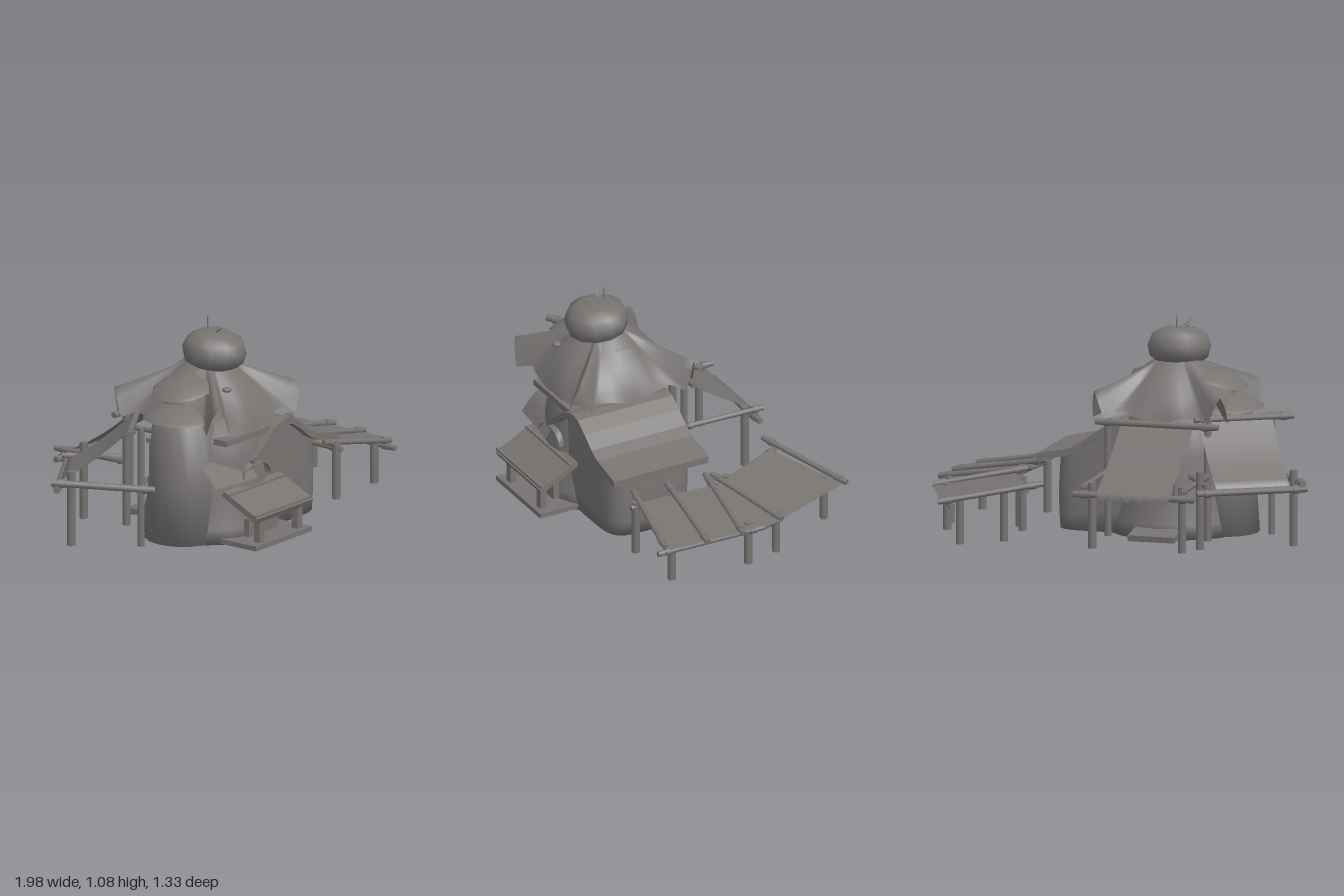
import * as THREE from 'three';

const V = (p) => new THREE.Vector3(...p);

export function createModel() {
  const model = new THREE.Group();
  const stone = new THREE.MeshStandardMaterial({ color: 0x767371, side: THREE.DoubleSide });
  stone.name = 'warm grey';

  const add = (name, geo, pos = [0, 0, 0], rot = [0, 0, 0], scale = [1, 1, 1]) => {
    const m = new THREE.Mesh(geo, stone);
    m.name = name;
    m.position.set(...pos);
    m.rotation.set(...rot);
    m.scale.set(...scale);
    model.add(m);
    return m;
  };
  const box = (name, x0, x1, y0, y1, z0, z1) => add(name,
    new THREE.BoxGeometry(x1 - x0, y1 - y0, z1 - z0), [(x0 + x1) / 2, (y0 + y1) / 2, (z0 + z1) / 2]);
  // round pole between two points
  const pole = (name, a, b, r = 0.014) => {
    const d = V(b).sub(V(a));
    const m = add(name, new THREE.CylinderGeometry(r, r, d.length(), 8), V(a).add(V(b)).multiplyScalar(0.5).toArray());
    m.quaternion.setFromUnitVectors(new THREE.Vector3(0, 1, 0), d.normalize());
  };
  // rail with thicker lashings near both ends
  const rail = (name, a, b, r = 0.014) => {
    pole(name, a, b, r);
    for (const t of [0.07, 0.87]) {
      pole(name + 'Lashing', V(a).lerp(V(b), t).toArray(), V(a).lerp(V(b), t + 0.06).toArray(), r * 1.3);
    }
  };
  const post = (name, x, z, top, r = 0.021) => pole(name, [x, 0.01, z], [x, top, z], r);
  // surface from a rule f(u, v) -> [x, y, z]
  const surface = (nu, nv, f, closed = false) => {
    const pos = [], idx = [], cols = closed ? nu : nu + 1;
    for (let j = 0; j <= nv; j++) for (let i = 0; i < cols; i++) pos.push(...f(i / nu, j / nv));
    for (let j = 0; j < nv; j++) for (let i = 0; i < nu; i++) {
      const a = j * cols + i, b = j * cols + (i + 1) % cols;
      idx.push(a, b, a + cols, b, b + cols, a + cols);
    }
    const g = new THREE.BufferGeometry();
    g.setAttribute('position', new THREE.Float32BufferAttribute(pos, 3));
    g.setIndex(idx);
    g.computeVertexNormals();
    return g;
  };
  const lathe = (pts, n) => new THREE.LatheGeometry(pts.map((p) => new THREE.Vector2(...p)), n);

  // round tower and the bay on its side
  const CX = -0.2, CZ = 0.19;
  add('towerWall', lathe([[0, 0], [0.345, 0], [0.325, 0.07], [0.3, 0.2], [0.28, 0.4], [0.26, 0.52], [0.2, 0.64], [0, 0.64]], 20), [CX, 0.005, CZ]);
  add('bayWall', lathe([[0, 0], [0.195, 0], [0.175, 0.3], [0.155, 0.63], [0, 0.63]], 16), [-0.42, 0.005, 0.2]);
  add('bayLowerRoof', lathe([[0.205, 0], [0.19, 0.015], [0.1, 0.065], [0, 0.09]], 11), [-0.435, 0.625, 0.21]);
  add('bayUpperRoof', lathe([[0.16, 0], [0.14, 0.015], [0.08, 0.04], [0, 0.05]], 11), [-0.41, 0.765, 0.19], [0, 0, 0.25]);
  add('bayRoofNeck', new THREE.CylinderGeometry(0.09, 0.12, 0.1, 11), [-0.39, 0.72, 0.19]);

  // main roof: octagonal skirt with four narrow upturned corner horns
  // rows: degrees from the corner, mid radius, mid height, rim radius, rim height
  const rows = [[0, 0.27, 0.79, 0.46, 0.735], [4, 0.265, 0.775, 0.455, 0.68], [7.5, 0.25, 0.745, 0.44, 0.595],
    [11, 0.25, 0.74, 0.36, 0.62], [22.5, 0.27, 0.745, 0.34, 0.615], [45, 0.28, 0.745, 0.315, 0.585]];
  const roofAngles = [0, 11, 22.5, 34, 37.5, 41, 45, 49, 52.5, 56, 67.5, 79];
  const roofPoint = (u, v) => {
    const i = Math.round(u * 48), deg = Math.floor(i / 12) * 90 + roofAngles[i % 12];
    const d = Math.abs((deg % 90) - 45);
    let k = 0;
    while (k < rows.length - 2 && d > rows[k + 1][0]) k++;
    const A = rows[k], B = rows[k + 1], t = (d - A[0]) / (B[0] - A[0]);
    const [mr, my, rr, ry] = [1, 2, 3, 4].map((n) => A[n] + (B[n] - A[n]) * t);
    const q = (a, b, c) => (1 - v) * (1 - v) * a + 2 * v * (1 - v) * b + v * v * c;
    const r = q(0.11, mr, rr), a = deg * Math.PI / 180;
    return [CX + Math.cos(a) * r, q(0.86, my, ry), CZ - 0.015 + Math.sin(a) * r];
  };
  add('mainRoof', surface(48, 8, roofPoint, true));
  add('sideDormer', new THREE.SphereGeometry(0.105, 9, 8), [-0.015, 0.755, 0.17], [0, 0, 0.55], [0.28, 0.75, 1]);
  add('roofKnot', new THREE.SphereGeometry(0.025, 8, 6), [-0.31, 0.765, 0.385], [0, 0, 0], [1, 0.5, 1]);

  // bulbous cap with a stalk and leaves
  add('roofCap', lathe([[0, -0.09], [0.1, -0.085], [0.148, -0.055], [0.162, 0], [0.14, 0.055], [0.085, 0.088], [0, 0.092]], 12),
    [CX, 0.92, 0.222], [0.1, 0, 0]);
  add('capStalk', new THREE.CylinderGeometry(0.003, 0.005, 0.08, 5), [CX, 1.04, 0.18]);
  for (const [a, len, h] of [[2.0, 0.11, 0.045], [3.4, 0.08, 0.03], [0.4, 0.06, 0.02], [5.0, 0.07, 0.01]]) {
    add('capLeaf', surface(2, 4, (u, v) => [
      CX + Math.cos(a) * len * v - Math.sin(a) * (u - 0.5) * 0.05 * (1.05 - v), 1.008 + h * v * v,
      0.2 + Math.sin(a) * len * v + Math.cos(a) * (u - 0.5) * 0.05 * (1.05 - v)]));
  }

  // side wing: rounded wall under a wavy roof
  const wave = [[-0.23, 0.40], [-0.14, 0.46], [-0.06, 0.525], [0.0, 0.552], [0.04, 0.56], [0.09, 0.55], [0.16, 0.505],
    [0.23, 0.45], [0.29, 0.42], [0.46, 0.385]];
  const roofOutline = [...wave, ...wave.map(([x, y]) => [x, y - 0.035]).reverse()];
  add('wingRoof', new THREE.ExtrudeGeometry(new THREE.Shape(roofOutline.map((p) => new THREE.Vector2(...p))),
    { depth: 0.535, bevelEnabled: false }), [0, 0, -0.047]);
  const waveHeight = (x) => {
    const k = Math.max(1, wave.findIndex((p) => p[0] >= x)), [a, b] = [wave[k - 1], wave[k]];
    return a[1] + (b[1] - a[1]) * (x - a[0]) / (b[0] - a[0]);
  };
  add('wingWall', surface(48, 6, (u, v) => {
    const c = Math.cos(u * 2 * Math.PI), s = Math.sin(u * 2 * Math.PI), h = Math.max(0, (v - 1 / 6) * 1.2);
    const bulge = v === 0 ? 0 : 0.96 + 0.04 * Math.sin(Math.PI * Math.min(1, h * 0.8 + 0.15));
    const x = 0.08 + 0.3 * bulge * Math.sign(c) * Math.abs(c) ** 0.4;
    return [x, 0.005 + h * (waveHeight(x) - 0.025), 0.215 + 0.235 * bulge * Math.sign(s) * Math.abs(s) ** 0.4];
  }, true));

  // front porch: slab, posts, sloped awning and door
  box('porchSlab', -0.43, 0.02, 0.01, 0.035, 0.44, 0.66);
  for (const x of [-0.35, -0.045]) box('porchPost', x - 0.02, x + 0.02, 0.035, 0.19, 0.6, 0.635);
  add('porchAwning', new THREE.BoxGeometry(0.45, 0.03, 0.235), [-0.2, 0.215, 0.555], [0.46, 0, 0]);
  for (const [y, z] of [[0.185, 0.655], [0.265, 0.49]]) box('awningTrim', -0.43, 0.025, y - 0.012, y + 0.006, z - 0.01, z + 0.005);
  const door = new THREE.Shape().moveTo(-0.12, 0).lineTo(0.12, 0).lineTo(0.12, 0.09).quadraticCurveTo(0, 0.18, -0.12, 0.09);
  add('door', new THREE.ExtrudeGeometry(door, { depth: 0.03, bevelEnabled: false }), [CX, 0.035, 0.5]);
  add('frontHood', surface(12, 3, (u, v) => {
    const a = Math.PI * u;
    return [CX + Math.cos(a) * (0.09 + 0.02 * v), 0.31 + Math.sin(a) * (0.1 - 0.03 * v), 0.43 + v * 0.06];
  }));
  box('frontLedge', -0.41, 0.0, 0.505, 0.535, 0.38, 0.46);
  add('frontCanopy', surface(8, 4, (u, v) => [-0.51 + u * 0.3, 0.42 - 0.11 * v * v, 0.33 + v * 0.14 + u * 0.03]));
  add('backStep', new THREE.BoxGeometry(0.24, 0.03, 0.14), [-0.2, 0.035, -0.185], [-0.15, 0, 0]);
  // barred window at the back
  box('windowSill', -0.3, -0.06, 0.2, 0.22, -0.13, -0.08);
  box('windowLintel', -0.3, -0.06, 0.4, 0.42, -0.13, -0.08);
  for (let i = 0; i < 5; i++) pole('windowBar', [-0.28 + i * 0.05, 0.21, -0.115], [-0.28 + i * 0.05, 0.41, -0.115], 0.009);

  // cloth awnings: top edge a-b, bottom edge c-d, sagging, with scalloped hem
  const awning = (name, a, b, c, d) => add(name, surface(32, 10, (u, v) => {
    const s = Math.min(v / 0.9, 1);
    const p = V(a).lerp(V(b), u).lerp(V(c).lerp(V(d), u), s);
    p.y -= Math.sin(Math.PI * s) * 0.02;
    if (v > 0.95) p.y -= 0.025 + 0.02 * Math.abs(Math.sin(u * Math.PI * 6));
    return p.toArray();
  }));
  awning('backAwning', [-0.385, 0.57, -0.15], [-0.01, 0.57, -0.15], [-0.385, 0.3, -0.55], [-0.01, 0.3, -0.55]);
  awning('sideAwning', [-0.72, 0.6, 0.1], [-0.4, 0.6, -0.1], [-0.9, 0.33, -0.2], [-0.58, 0.33, -0.4]);

  // back awning frame
  rail('backTopRail', [-0.52, 0.585, -0.16], [0.115, 0.585, -0.16], 0.016);
  rail('backLowRail', [-0.51, 0.285, -0.53], [0.115, 0.285, -0.53], 0.016);
  for (const x of [-0.455, 0.06]) {
    rail('backSideRail', [x, 0.325, -0.575], [x, 0.335, -0.12]);
    post('backPost', x < 0 ? -0.435 : 0.03, -0.49, 0.34);
    post('backInnerPost', x, -0.13, 0.62, 0.019);
  }
  // side awning frame
  rail('sideTopRail', [-0.81, 0.61, 0.16], [-0.38, 0.61, -0.11], 0.017);
  rail('sideLowRail', [-0.98, 0.305, -0.16], [-0.5, 0.305, -0.46], 0.017);
  rail('sideOuterRail', [-0.97, 0.335, -0.2], [-0.69, 0.31, 0.23], 0.018);
  rail('sideInnerRail', [-0.56, 0.335, -0.45], [-0.38, 0.335, -0.17]);
  rail('sideShortRail', [-0.74, 0.3, 0.17], [-0.55, 0.3, 0.06]);
  post('sidePost', -0.9, -0.13, 0.39);
  post('sidePost', -0.7, 0.15, 0.62, 0.017);
  post('sidePost', -0.49, -0.37, 0.4);

  // fan-shaped deck sloping outward, in three panels with a wedge between
  const panel = (...c) => add('deckPanel', surface(1, 1, (u, v) =>
    V(c[0]).lerp(V(c[1]), u).lerp(V(c[3]).lerp(V(c[2]), u), v).toArray()));
  const deckEdge = [[[0.4, 0.29, -0.43], [0.77, 0.225, -0.63]], [[0.58, 0.285, -0.03], [0.955, 0.225, -0.17]],
    [[0.57, 0.285, -0.02], [0.965, 0.225, 0.03]], [[0.56, 0.285, 0.2], [0.96, 0.225, 0.24]], [[0.55, 0.285, 0.4], [0.95, 0.225, 0.45]]];
  for (let i = 0; i < 4; i++) panel(...deckEdge[i], deckEdge[i + 1][1], deckEdge[i + 1][0]);
  const crossRails = [[0.3, -0.44, 0.78, -0.65], [0.5, -0.04, 0.95, -0.19], [0.49, -0.01, 0.99, 0.05],
    [0.48, 0.2, 0.98, 0.245], [0.47, 0.385, 0.92, 0.455]];
  for (const [x0, z0, x1, z1] of crossRails) rail('deckCrossRail', [x0, 0.31, z0], [x1, 0.23, z1], 0.015);
  rail('deckInnerRail', [0.375, 0.275, -0.47], [0.59, 0.27, 0.0]);
  rail('deckInnerRail', [0.59, 0.265, -0.13], [0.545, 0.265, 0.44]);
  rail('deckOuterRail', [0.7, 0.2, -0.66], [0.93, 0.2, -0.1]);
  rail('deckOuterRail', [0.93, 0.2, -0.1], [0.91, 0.195, 0.49]);
  for (const [x, z, top] of [[0.69, -0.57, 0.24], [0.87, -0.2, 0.24], [0.91, -0.02, 0.24], [0.87, 0.39, 0.23],
    [0.54, 0.41, 0.29], [0.555, -0.01, 0.3], [0.505, -0.12, 0.28], [0.505, -0.43, 0.27]]) post('deckPost', x, z, top);

  return model;
}
